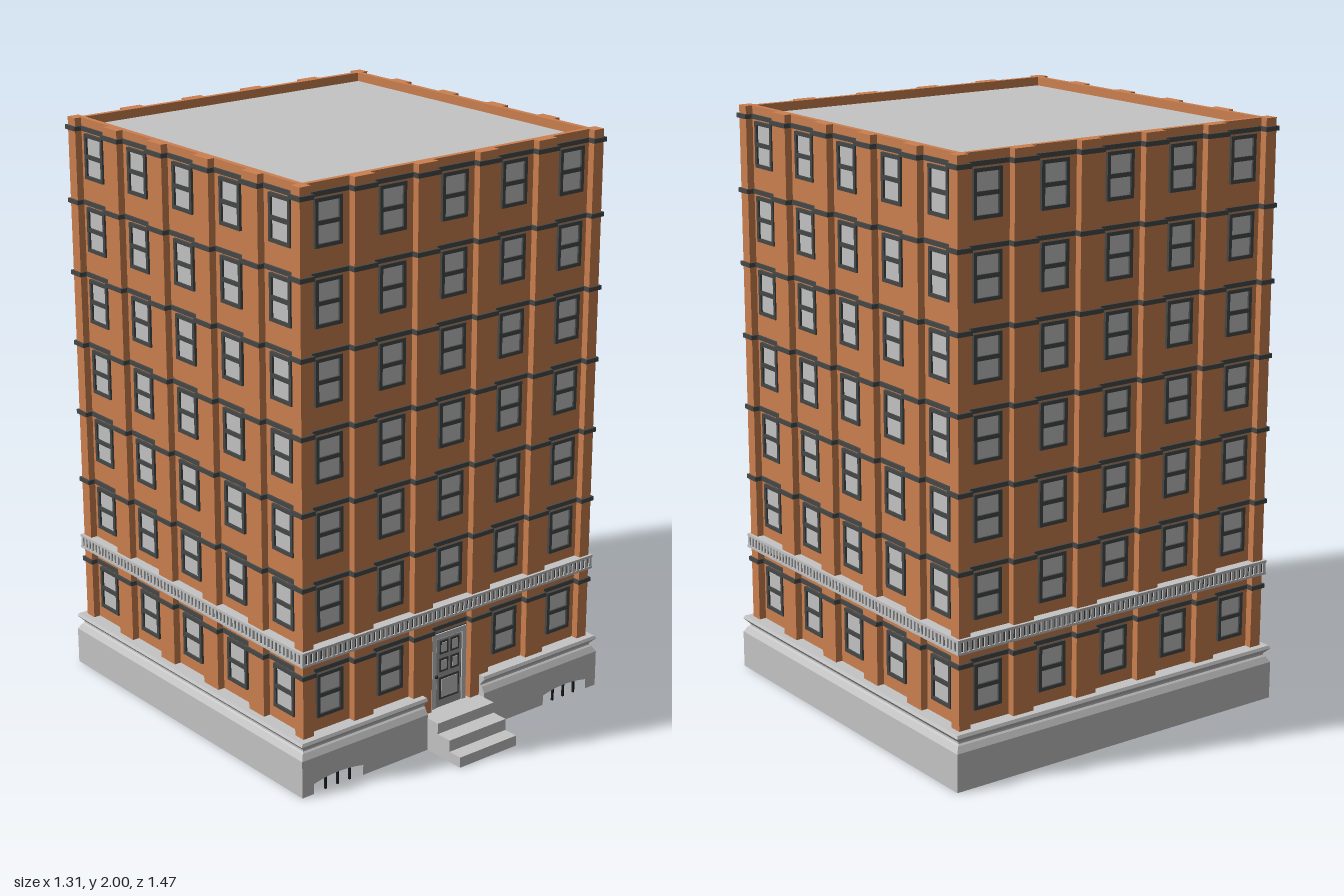
import * as THREE from 'three';
import { mergeGeometries } from 'three/addons/utils/BufferGeometryUtils.js';

const mat = (name, color, side = THREE.FrontSide) => {
  const m = new THREE.MeshStandardMaterial({ color, side });
  m.name = name;
  return m;
};

const WALL = 0.603, PIER = 0.628, PARAPET = 0.585;      // half widths of the plan
const BAY = 0.2525;                                     // window spacing
const FLOORS = [0.315, ...Array.from({ length: 6 }, (_, i) => 0.617 + i * 0.2515)];

// Plan outline with corner and intermediate piers, grown by e
function outline(e = 0) {
  const pts = [], w = WALL + e, p = PIER + e, c = PARAPET - e, h = 0.04 + e;
  for (let k = 0; k < 4; k++) {
    const side = [[p, -p], [p, -c], [w, -c]];
    for (const i of [-1.5, -0.5, 0.5, 1.5]) {
      const u = i * BAY;
      side.push([w, u - h], [p, u - h], [p, u + h], [w, u + h]);
    }
    side.push([w, c], [p, c]);
    for (let [x, y] of side) {
      for (let r = 0; r < k; r++) [x, y] = [-y, x];
      pts.push(new THREE.Vector2(x, y));
    }
  }
  return pts;
}

const square = (s) => [[-s, -s], [s, -s], [s, s], [-s, s]].map(([x, y]) => new THREE.Vector2(x, y));

// Horizontal ring between two outlines
function ringSlab(outer, inner, y0, y1) {
  const shape = new THREE.Shape(outer);
  shape.holes.push(new THREE.Path(inner));
  return new THREE.ExtrudeGeometry(shape, { depth: y1 - y0, bevelEnabled: false })
    .rotateX(-Math.PI / 2).translate(0, y0, 0);
}

// Flat-faced skin through rings of [x, y, z] points
function skin(rings, closed) {
  const pos = [], n = rings[0].length;
  for (let r = 0; r < rings.length - 1; r++) {
    for (let i = 0; i < (closed ? n : n - 1); i++) {
      const j = (i + 1) % n, a = rings[r][i], b = rings[r][j], c = rings[r + 1][j], d = rings[r + 1][i];
      pos.push(...a, ...b, ...c, ...a, ...c, ...d);
    }
  }
  const g = new THREE.BufferGeometry();
  g.setAttribute('position', new THREE.Float32BufferAttribute(pos, 3));
  g.computeVertexNormals();
  return g;
}

const box = (w, h, d, x, y, z) => new THREE.BoxGeometry(w, h, d).translate(x, y, z);
const rect = (P, x0, y0, x1, y1) => new P([[x0, y0], [x1, y0], [x1, y1], [x0, y1]].map((p) => new THREE.Vector2(...p)));

export function createModel() {
  const brick = mat('brick', 0xcc8050, THREE.DoubleSide);
  const stone = mat('stone', 0xc4c4c4, THREE.DoubleSide);
  const trim = mat('dark trim', 0x464848);
  const glass = mat('window glass', 0xc3c3c3);
  const doorGrey = mat('door grey', 0xa2a2a2);
  const black = mat('black iron', 0x1c1c1c);

  const model = new THREE.Group();
  model.name = 'apartmentBuilding';
  const body = new THREE.Group();
  body.name = 'building';
  body.position.z = -0.08;
  model.add(body);
  const add = (name, geos, material) => {
    const m = new THREE.Mesh(Array.isArray(geos) ? mergeGeometries(geos) : geos, material);
    m.name = name;
    body.add(m);
  };

  // Hollow brick shell, parapet and roof
  const plan = outline();
  add('walls', skin([0.115, 1.999].map((y) => plan.map((p) => [p.x, y, -p.y])), true), brick);
  add('parapet', ringSlab(plan, square(PARAPET), 1.955, 2), brick);
  add('roof', new THREE.PlaneGeometry(2 * PARAPET + 0.02, 2 * PARAPET + 0.02).rotateX(-Math.PI / 2).translate(0, 1.97, 0), stone);

  // Dark string course above every row of windows
  add('stringCourses', FLOORS.map((y) => ringSlab(outline(0.007), outline(-0.005), y + 0.083, y + 0.098)), trim);

  // Ribbed cornice over the ground floor
  add('corniceBacking', ringSlab(square(0.632), square(0.595), 0.452, 0.492), trim);
  const ribs = [ringSlab(square(0.638), square(0.594), 0.488, 0.497), ringSlab(square(0.638), square(0.594), 0.447, 0.455)];
  for (let k = 0; k < 4; k++) {
    for (let i = 0; i < 64; i++) {
      ribs.push(box(0.011, 0.034, 0.008, -0.63 + i * 0.02, 0.471, 0.633).rotateY(k * Math.PI / 2).toNonIndexed());
    }
  }
  add('corniceRibs', ribs, stone);

  // Sash windows on all four sides, leaving room for the door
  const frame = rect(THREE.Shape, -0.053, -0.077, 0.053, 0.077);
  frame.holes.push(rect(THREE.Path, -0.041, -0.065, 0.041, -0.007), rect(THREE.Path, -0.041, 0.007, 0.041, 0.065));
  const frameGeo = new THREE.ExtrudeGeometry(frame, { depth: 0.016, bevelEnabled: false });
  const frames = [], panes = [];
  for (let k = 0; k < 4; k++) {
    FLOORS.forEach((y, f) => {
      for (let c = -2; c <= 2; c++) {
        if (k === 0 && f === 0 && c === 0) continue;
        frames.push(frameGeo.clone().translate(c * BAY, y, WALL - 0.006).rotateY(k * Math.PI / 2));
        panes.push(box(0.09, 0.14, 0.009, c * BAY, y, WALL - 0.0015).rotateY(k * Math.PI / 2));
      }
    });
  }
  add('windowFrames', frames, trim);
  add('windowPanes', panes, glass);

  // Front door with surround, panels and knob
  add('doorOutline', box(0.158, 0.276, 0.018, 0, 0.252, WALL), trim);
  add('doorSurround', [box(0.018, 0.268, 0.026, -0.066, 0.249, WALL + 0.001), box(0.018, 0.268, 0.026, 0.066, 0.249, WALL + 0.001),
    box(0.15, 0.018, 0.026, 0, 0.378, WALL + 0.001)], stone);
  add('door', box(0.108, 0.25, 0.022, 0, 0.241, WALL), doorGrey);
  const borders = [], centres = [];
  for (const [x, y, w, h] of [[-0.024, 0.335, 0.038, 0.05], [0.024, 0.335, 0.038, 0.05],
    [-0.024, 0.27, 0.038, 0.05], [0.024, 0.27, 0.038, 0.05], [0, 0.185, 0.088, 0.082]]) {
    borders.push(box(w, h, 0.004, x, y, WALL + 0.012));
    centres.push(box(w - 0.016, h - 0.016, 0.005, x, y, WALL + 0.0135));
  }
  add('doorPanelBorders', borders, trim);
  add('doorPanels', centres, stone);
  add('doorKnob', new THREE.SphereGeometry(0.006, 10, 8).translate(-0.06, 0.235, WALL + 0.018), black);

  // Stone base: moulded top interrupted at the door
  const profile = [[0.655, 0.13], [0.643, 0.15], [0.637, 0.155], [0.637, 0.161], [0.655, 0.18], [0.65, 0.19], [0.6, 0.19]];
  const gap = 0.126;
  add('baseMoulding', skin(profile.map(([s, y]) =>
    [[gap, y, s], [s, y, s], [s, y, -s], [-s, y, -s], [-s, y, s], [-gap, y, s]]), false), stone);
  add('baseSides', skin([0, 0.13].map((y) =>
    [[0.655, y, 0.655], [0.655, y, -0.655], [-0.655, y, -0.655], [-0.655, y, 0.655]]), false), stone);

  // Front base panels with low arched cellar openings and bars, plus gap ends
  const end = new THREE.Shape([[0.6, 0], [0.655, 0], ...profile].map((p) => new THREE.Vector2(...p)));
  for (const s of [-1, 1]) {
    const name = s > 0 ? 'left' : 'right', cx = s * 0.505;
    const panel = new THREE.Shape();
    panel.moveTo(-0.15, 0).lineTo(-0.102, 0).lineTo(-0.102, 0.036);
    panel.quadraticCurveTo(0, 0.06, 0.102, 0.036);
    panel.lineTo(0.102, 0).lineTo(0.15, 0).lineTo(0.15, 0.13).lineTo(-0.15, 0.13);
    add(name + 'CellarPanel', new THREE.ShapeGeometry(panel).translate(cx, 0, 0.655), stone);
    add(name + 'FrontPanel', new THREE.PlaneGeometry(0.355 - gap, 0.13).translate(s * (0.355 + gap) / 2, 0.065, 0.655), stone);
    add(name + 'CellarBars', [-0.05, 0, 0.05].map((x) => box(0.007, 0.046, 0.007, cx + x, 0.023, 0.648)), black);
    add(name + 'BaseEnd', new THREE.ShapeGeometry(end).rotateY(-Math.PI / 2).translate(s * gap, 0, 0), stone);
  }

  // Entrance steps
  const steps = new THREE.Shape([[0.6, 0], [0.818, 0], [0.818, 0.037], [0.765, 0.037], [0.765, 0.078],
    [0.705, 0.078], [0.705, 0.116], [0.6, 0.116]].map((p) => new THREE.Vector2(...p)));
  add('entranceSteps', new THREE.ExtrudeGeometry(steps, { depth: 0.25, bevelEnabled: false })
    .rotateY(-Math.PI / 2).translate(0.125, 0, 0), stone);

  return model;
}
